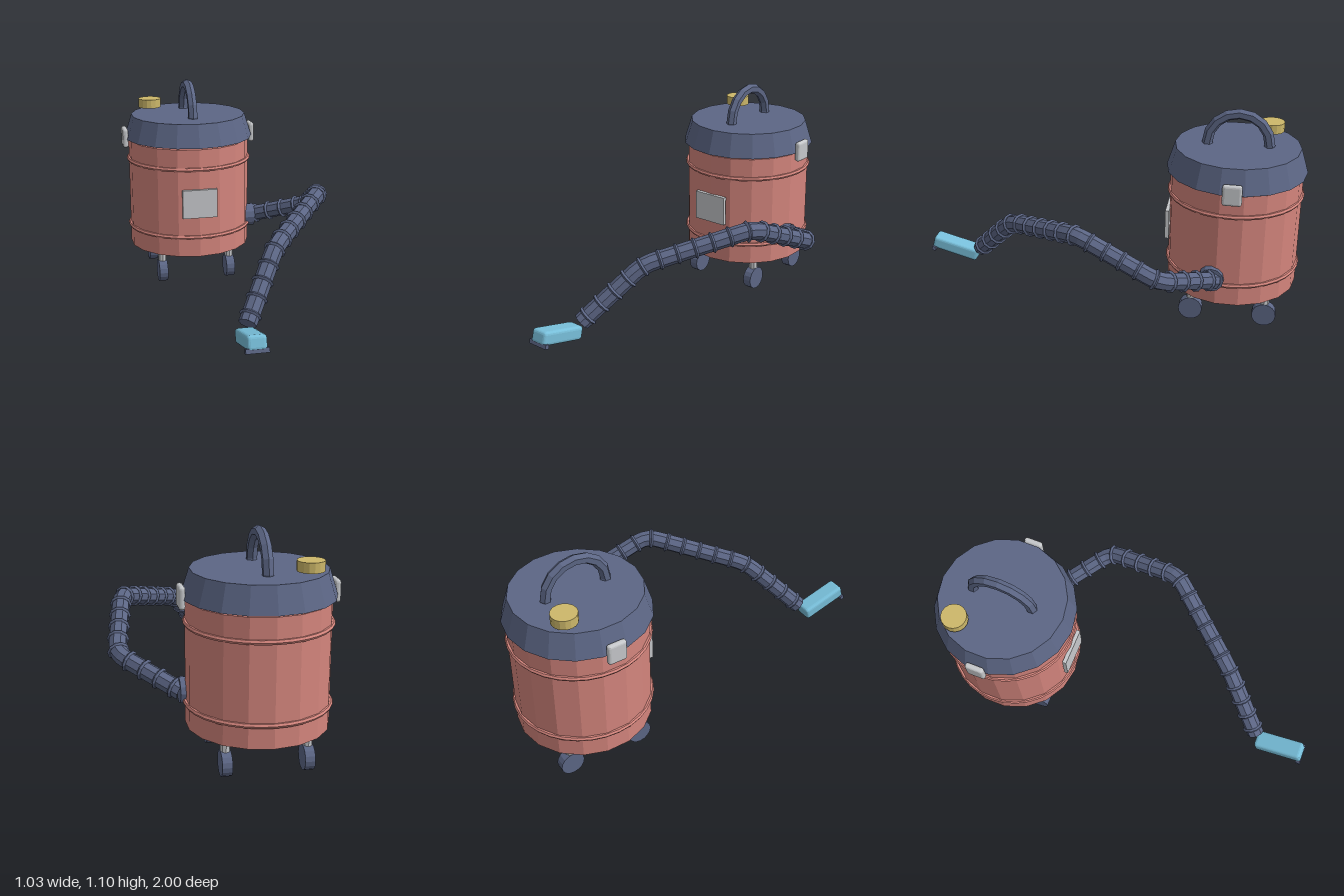
import * as THREE from 'three';
import { RoundedBoxGeometry } from 'three/addons/geometries/RoundedBoxGeometry.js';

const CX = -0.152, CZ = -0.645; // tank axis

function mat(name, color) {
  const m = new THREE.MeshStandardMaterial({ color, flatShading: true });
  m.name = name;
  return m;
}

export function createModel() {
  const group = new THREE.Group();
  const red = mat('salmon red', 0xd4857d);
  const navy = mat('slate blue', 0x5c6685);
  const grey = mat('light grey', 0xc6c8cb);
  const gold = mat('brass yellow', 0xcdb86a);
  const cyan = mat('sky blue', 0x78bfda);

  const add = (name, geo, material, x, y, z, parent = group) => {
    const m = new THREE.Mesh(geo, material);
    m.name = name;
    m.position.set(x, y, z);
    parent.add(m);
    return m;
  };

  // Tank with two raised bands, and the lid floating just above it
  add('tank', new THREE.CylinderGeometry(0.335, 0.335, 0.6, 18), red, CX, 0.475, CZ);
  for (const y of [0.285, 0.665]) {
    add('tankBand', new THREE.TorusGeometry(0.335, 0.012, 6, 32), red, CX, y, CZ).rotation.x = Math.PI / 2;
  }
  add('lid', new THREE.CylinderGeometry(0.316, 0.355, 0.125, 18), navy, CX, 0.8475, CZ);

  // Ring handle running through the lid
  add('handle', new THREE.TorusGeometry(0.156, 0.027, 6, 16), navy, CX, 0.917, CZ).rotation.y = Math.PI / 2;

  // Cap and front plate
  add('cap', new THREE.CylinderGeometry(0.063, 0.063, 0.048, 16), gold, -0.343, 0.949, -0.805);
  add('frontPlate', new THREE.BoxGeometry(0.19, 0.157, 0.02), grey, CX, 0.477, -0.308);

  // Side latches
  for (const s of [-1, 1]) {
    add('latch', new RoundedBoxGeometry(0.03, 0.107, 0.096, 2, 0.013), grey, CX + s * 0.357, 0.792, CZ);
  }

  // Four casters
  for (const sx of [-1, 1]) for (const sz of [-1, 1]) {
    const caster = new THREE.Group();
    caster.name = 'caster';
    caster.position.set(CX + sx * 0.19, 0, CZ + sz * 0.19);
    group.add(caster);
    add('casterStem', new THREE.CylinderGeometry(0.023, 0.023, 0.1, 8), grey, 0, 0.135, 0, caster);
    add('casterWheel', new THREE.CylinderGeometry(0.0615, 0.0615, 0.047, 16), navy, 0, 0.0615, 0, caster)
      .rotation.z = Math.PI / 2;
  }

  // Hose connector on the tank's left side
  add('hoseConnector', new THREE.CylinderGeometry(0.063, 0.063, 0.06, 12), navy, 0.173, 0.32, -0.565)
    .rotation.z = Math.PI / 2;

  // Hose path: straight runs with softened corners
  const pts = [
    [0.19, 0.315, -0.58], [0.465, 0.435, -0.335], [0.395, 0.61, 0.07], [0.055, 0.475, 0.485], [-0.135, 0.205, 0.725],
  ].map((p) => new THREE.Vector3(...p));
  const path = new THREE.CurvePath();
  let from = pts[0];
  for (let i = 1; i < pts.length - 1; i++) {
    const toward = (q) => pts[i].clone().add(q.clone().sub(pts[i]).setLength(0.06));
    const a = toward(pts[i - 1]), b = toward(pts[i + 1]);
    path.add(new THREE.LineCurve3(from, a));
    path.add(new THREE.QuadraticBezierCurve3(a, pts[i], b));
    from = b;
  }
  path.add(new THREE.LineCurve3(from, pts[pts.length - 1]));
  add('hose', new THREE.TubeGeometry(path, 60, 0.044, 8, false), navy, 0, 0, 0);

  // Hose ribs and closed end
  const Z = new THREE.Vector3(0, 0, 1);
  const onPath = (name, geo, t) => {
    const p = path.getPointAt(t);
    add(name, geo, navy, p.x, p.y, p.z).quaternion.setFromUnitVectors(Z, path.getTangentAt(t));
  };
  const ribs = 20;
  for (let i = 0; i < ribs; i++) {
    onPath('hoseRib', new THREE.TorusGeometry(0.046, 0.009, 4, 10), (i + 0.5) / ribs);
  }
  onPath('hoseEnd', new THREE.CircleGeometry(0.044, 8), 1);

  // Nozzle tilted up toward its mouth, with a lip
  add('nozzle', new RoundedBoxGeometry(0.092, 0.07, 0.255, 2, 0.016), cyan, CX - 0.002, 0.194, 0.867)
    .rotation.x = -0.265;
  add('nozzleLip', new THREE.BoxGeometry(0.108, 0.022, 0.022), navy, CX - 0.002, 0.191, 0.986)
    .rotation.x = -0.265;

  return group;
}
